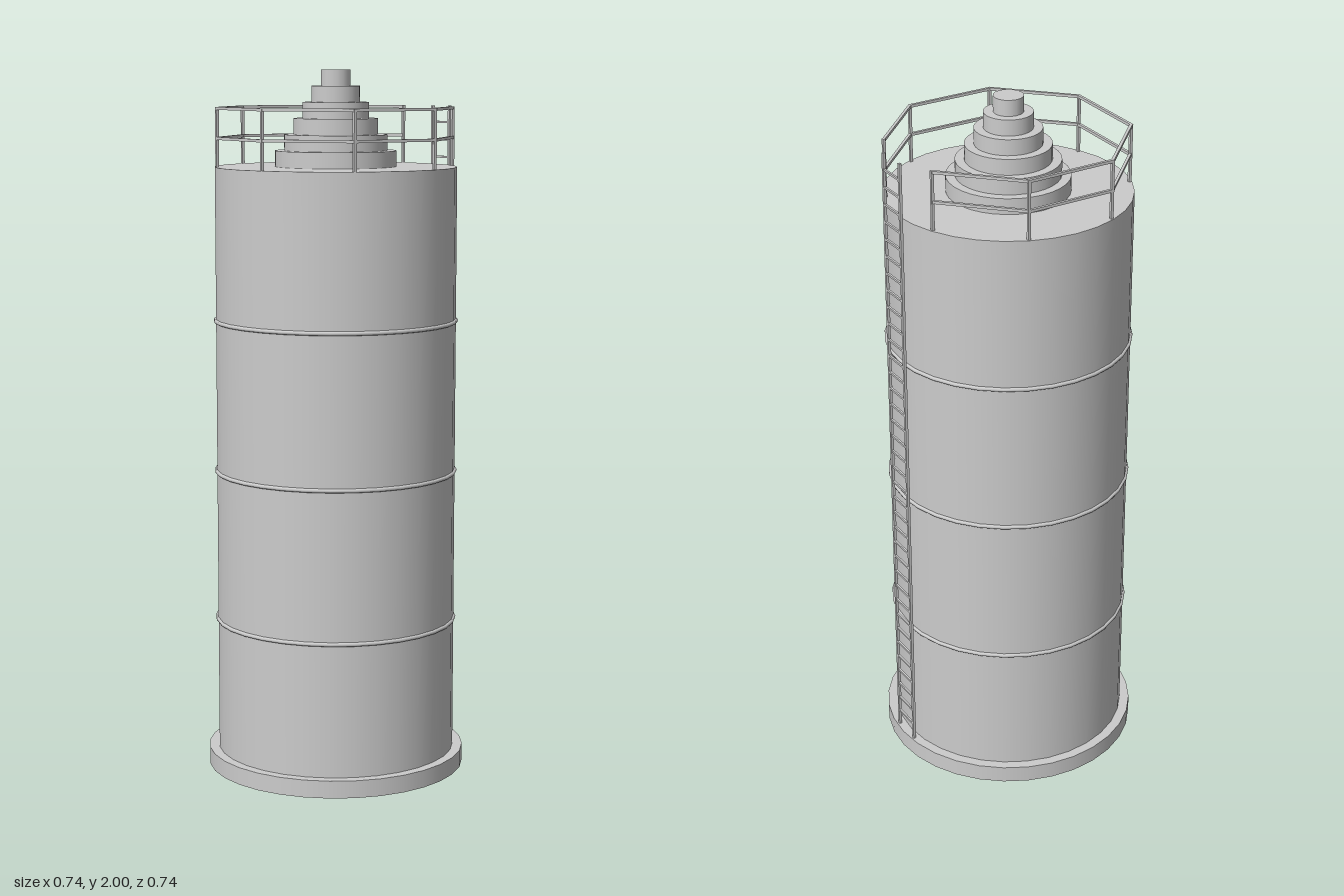
import * as THREE from 'three';

export function createModel() {
  const model = new THREE.Group();
  model.name = 'storageSilo';
  const steel = new THREE.MeshStandardMaterial({ color: 0xcccccc });
  steel.name = 'light grey steel';

  const add = (parent, name, geometry, x = 0, y = 0, z = 0) => {
    const mesh = new THREE.Mesh(geometry, steel);
    mesh.name = name;
    mesh.position.set(x, y, z);
    parent.add(mesh);
    return mesh;
  };
  const group = (name) => {
    const g = new THREE.Group();
    g.name = name;
    model.add(g);
    return g;
  };
  // upright drum standing between two heights
  const drum = (parent, name, radius, y0, y1, sides = 32) =>
    add(parent, name, new THREE.CylinderGeometry(radius, radius, y1 - y0, sides), 0, (y0 + y1) / 2, 0);

  // foundation and tank
  const tankTop = 1.73;
  drum(model, 'foundation', 0.37, 0, 0.05);
  drum(model, 'tank', 0.342, 0.05, tankTop);

  // hoops around the tank
  const hoops = group('hoops');
  for (const y of [0.432, 0.864, 1.296]) {
    add(hoops, 'hoop', new THREE.TorusGeometry(0.342, 0.006, 8, 32), 0, y, 0).rotation.x = Math.PI / 2;
  }

  // stepped roof cap
  const cap = group('roofCap');
  const step = (2 - tankTop) / 6;
  for (let i = 0; i < 6; i++) {
    drum(cap, 'capStep', 0.171 - i * 0.0258, tankTop + i * step, tankTop + (i + 1) * step, i < 5 ? 32 : 16);
  }

  // octagonal guard rail, open on the ladder side
  const railing = group('guardRail');
  const railTop = 1.897, bar = 0.008, radius = 0.335;
  const corner = (i) => {
    const a = Math.PI / 8 + (i * Math.PI) / 4;
    return new THREE.Vector3(Math.cos(a) * radius, 0, Math.sin(a) * radius);
  };
  for (let i = 0; i < 8; i++) {
    const a = corner(i);
    add(railing, 'railPost', new THREE.BoxGeometry(bar, railTop - tankTop, bar), a.x, (railTop + tankTop) / 2, a.z);
    if (i === 7) continue;
    const b = corner(i + 1);
    for (const y of [1.81, railTop - bar / 2]) {
      const rail = add(railing, 'rail', new THREE.BoxGeometry(a.distanceTo(b), bar, bar), (a.x + b.x) / 2, y, (a.z + b.z) / 2);
      rail.rotation.y = -Math.atan2(b.z - a.z, b.x - a.x);
    }
  }

  // ladder
  const ladder = group('ladder');
  const ladderX = 0.357;
  for (const side of [-1, 1]) {
    add(ladder, 'ladderStile', new THREE.BoxGeometry(0.008, railTop - 0.05, 0.008), ladderX, (railTop + 0.05) / 2, side * 0.043);
  }
  const rung = new THREE.BoxGeometry(0.006, 0.006, 0.086);
  for (let i = 0; i < 36; i++) add(ladder, 'ladderRung', rung, ladderX, 0.1 + i * 0.05, 0);

  return model;
}
